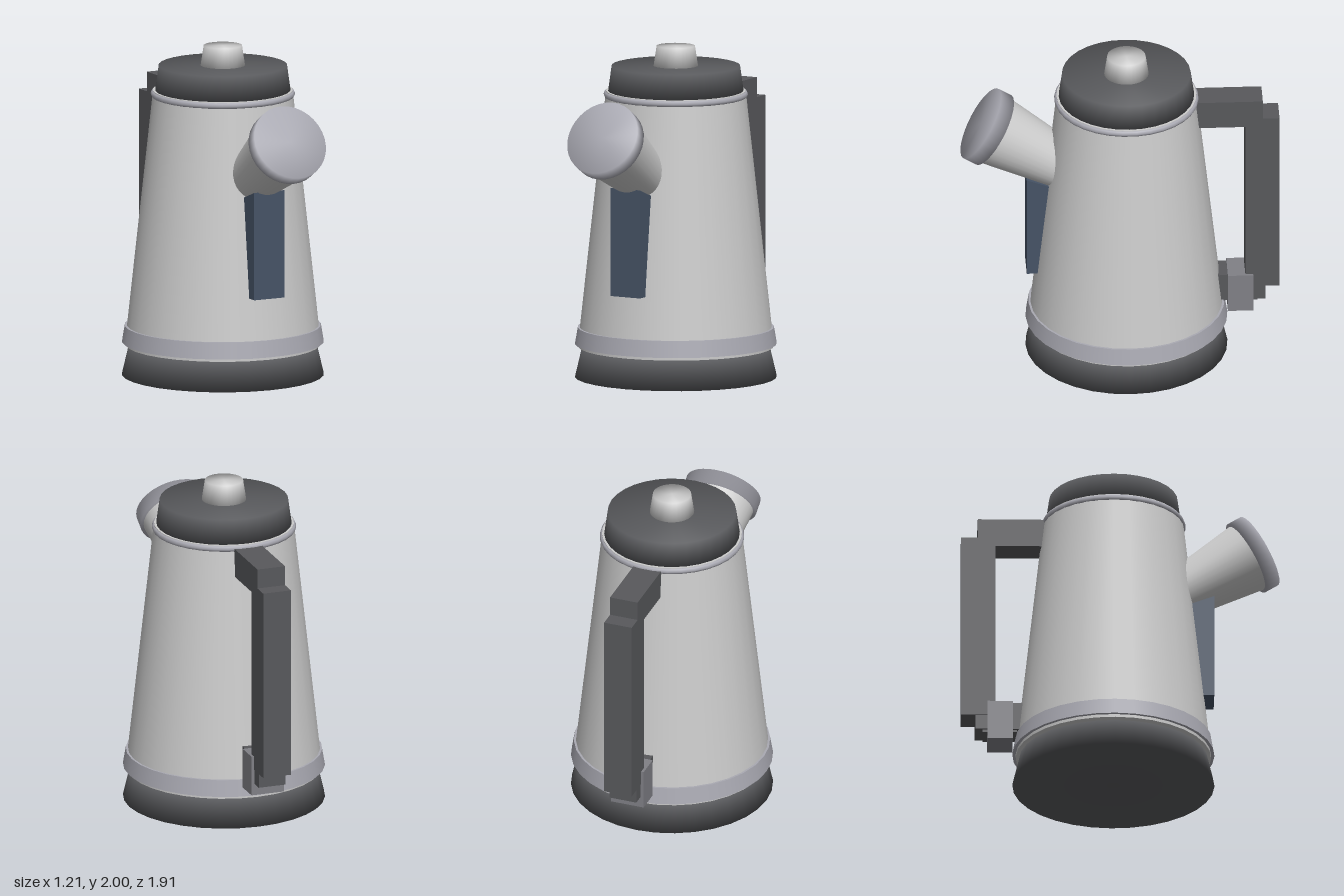
import * as THREE from 'three';
import { mergeVertices } from 'three/addons/utils/BufferGeometryUtils.js';

const SIDES = 32;
const AXIS_Z = -0.042; // centre line of the pot
const DARK = 0x58595c, BAND = 0xa9a9b2, CLIP = 0x808086, BLUE = 0x465366, GREY = 0xcccccc;

export function createModel() {
  const model = new THREE.Group();

  function add(name, geometry, color, x = 0, y = 0, z = 0, parent = model) {
    const mesh = new THREE.Mesh(geometry, new THREE.MeshStandardMaterial({ color }));
    mesh.name = name;
    mesh.position.set(x, y, z);
    parent.add(mesh);
    return mesh;
  }

  // Round section between two heights
  const round = (name, y0, r0, y1, r1, color) =>
    add(name, new THREE.CylinderGeometry(r1, r0, y1 - y0, SIDES), color, 0, (y0 + y1) / 2, AXIS_Z);

  // Shades a section softly across its rims
  function soften(mesh) {
    mesh.geometry.deleteAttribute('normal');
    mesh.geometry.deleteAttribute('uv');
    mesh.geometry = mergeVertices(mesh.geometry, 1e-4);
    mesh.geometry.computeVertexNormals();
  }

  // Box given by half width and ranges in y and z
  const block = (name, halfX, y0, y1, z0, z1, color) =>
    add(name, new THREE.BoxGeometry(halfX * 2, y1 - y0, z1 - z0), color, 0, (y0 + y1) / 2, (z0 + z1) / 2);

  // Pot, from the ground up
  soften(round('base', 0, 0.605, 0.17, 0.565, DARK));
  round('baseSpacer', 0.165, 0.48, 0.185, 0.48, DARK);
  round('basePlate', 0.182, 0.585, 0.202, 0.585, GREY);
  round('lowerBand', 0.2, 0.605, 0.3, 0.588, BAND);
  round('body', 0.2, 0.586, 1.73, 0.419, GREY);
  const rim = add('upperRim', new THREE.TorusGeometry(0.412, 0.021, 8, SIDES), BAND, 0, 1.708, AXIS_Z);
  rim.rotation.set(Math.PI / 2, 0, Math.PI / SIDES);
  soften(round('lid', 1.72, 0.407, 1.88, 0.385, DARK));
  soften(round('knob', 1.875, 0.134, 2, 0.115, GREY));

  // Spout, leaning forward and up, flaring to its mouth
  const spout = new THREE.Group();
  spout.name = 'spout';
  spout.position.set(0, 1.555, 0.83); // centre of the mouth
  spout.rotation.x = THREE.MathUtils.degToRad(58.4);
  add('spoutTube', new THREE.CylinderGeometry(0.215, 0.142, 0.55, SIDES), GREY, 0, -0.355, 0, spout);
  soften(add('spoutBand', new THREE.CylinderGeometry(0.233, 0.233, 0.09, SIDES), BAND, 0, -0.045, 0, spout));
  model.add(spout);

  // Support strip under the spout, its top following the slope of the tube
  const profile = new THREE.Shape([[-0.56, 0.556], [-0.4, 0.556], [-0.4, 1.15], [-0.56, 1.21]]
    .map(([z, y]) => new THREE.Vector2(z, y)));
  const strip = new THREE.ExtrudeGeometry(profile, { depth: 0.204, bevelEnabled: false });
  strip.translate(0, 0, -0.102);
  strip.rotateY(Math.PI / 2);
  add('spoutSupport', strip, BLUE);

  // Handle
  block('handleTopArm', 0.088, 1.535, 1.71, -0.855, -0.44, DARK);
  block('handleGrip', 0.088, 0.42, 1.59, -0.955, -0.75, DARK);
  block('handleLowerArm', 0.085, 0.33, 0.5, -0.87, -0.57, DARK);
  block('handleFoot', 0.07, 0.315, 0.4, -0.825, -0.62, DARK);
  block('handleClip', 0.104, 0.26, 0.505, -0.797, -0.645, CLIP);

  return model;
}
